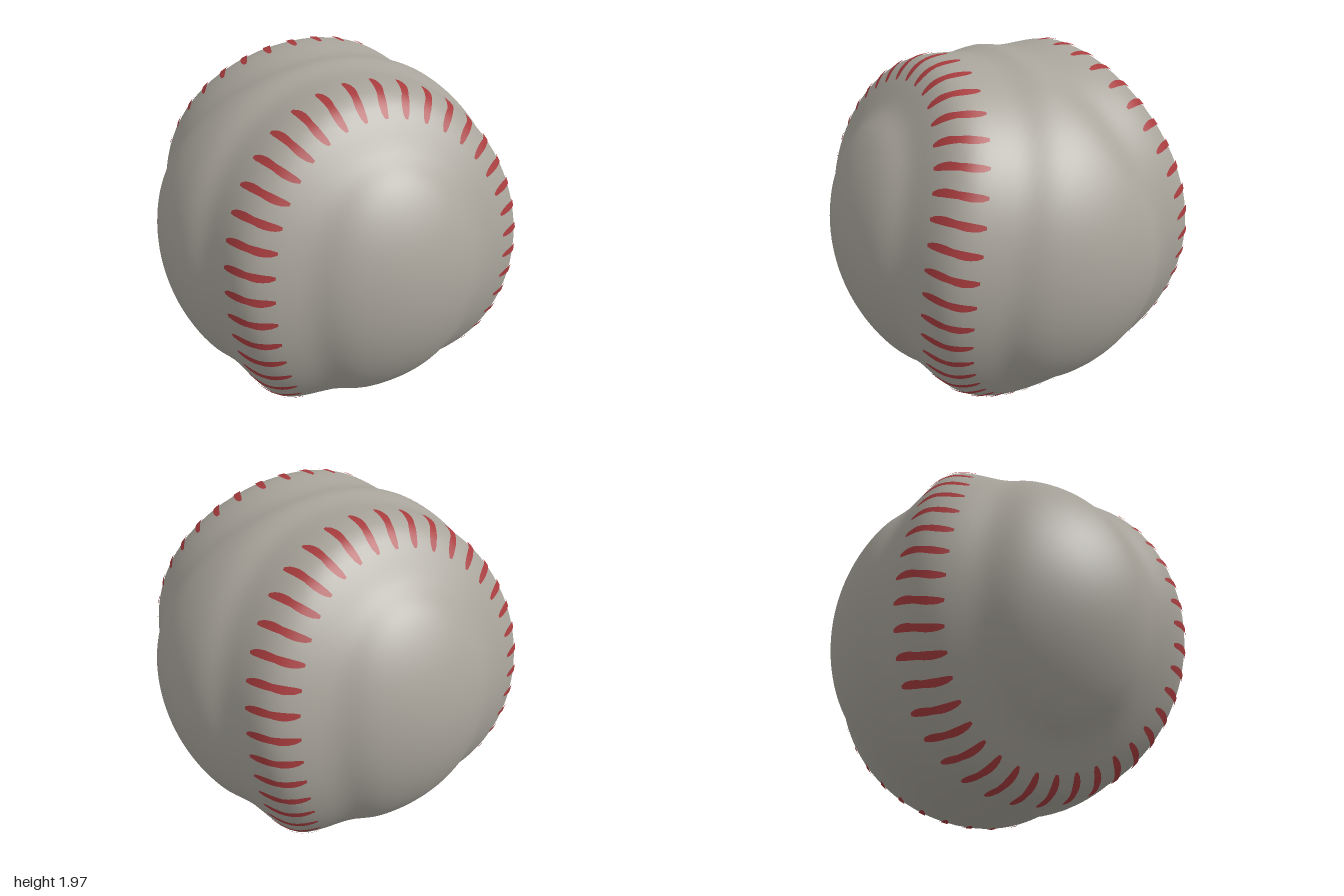
import * as THREE from 'three';
import { mergeVertices } from 'three/addons/utils/BufferGeometryUtils.js';

// Closed seam line on the unit sphere
class SeamCurve extends THREE.Curve {
  getPoint(u, target = new THREE.Vector3()) {
    const t = u * Math.PI * 2, a = 0.7, b = 0.3;
    return target.set(
      a * Math.sin(t) + b * Math.sin(3 * t),
      2 * Math.sqrt(a * b) * Math.cos(2 * t),
      a * Math.cos(t) - b * Math.cos(3 * t)
    ).normalize();
  }
}

const BASE_RADIUS = 0.988;
const STITCH_COUNT = 88;
const STITCH_HALF_LENGTH = 0.13;
const STITCH_HALF_WIDTH = 0.021;

export function createModel() {
  const leather = new THREE.MeshStandardMaterial({ color: 0xa8a49b });
  leather.name = 'grey leather';
  const thread = new THREE.MeshStandardMaterial({ color: 0xa83c3e });
  thread.name = 'red thread';

  const seam = new SeamCurve();
  seam.arcLengthDivisions = 800;
  const samples = seam.getPoints(720);

  // Push a direction out to the skin: a raised ridge on the seam, a soft dip beside it
  function toSkin(dir, lift = 0) {
    let best = -1;
    for (const s of samples) best = Math.max(best, s.dot(dir));
    const d = Math.acos(Math.min(1, best));
    const ridge = 0.06 * Math.exp(-((d / 0.16) ** 2));
    const dip = 0.015 * Math.exp(-(((d - 0.3) / 0.1) ** 2));
    dir.multiplyScalar(BASE_RADIUS + ridge - dip + lift);
    dir.x *= 1.012;
    return dir;
  }

  // Ball cover
  let cover = new THREE.IcosahedronGeometry(1, 24);
  cover.deleteAttribute('uv');
  cover.deleteAttribute('normal');
  cover = mergeVertices(cover, 1e-4);
  const pos = cover.attributes.position;
  const v = new THREE.Vector3();
  for (let i = 0; i < pos.count; i++) {
    toSkin(v.fromBufferAttribute(pos, i).normalize());
    pos.setXYZ(i, v.x, v.y, v.z);
  }
  cover.computeVertexNormals();

  // Stitches: slightly waved strips laid across the seam, tapered at both ends
  const points = [], index = [], steps = 10;
  for (let i = 0; i < STITCH_COUNT; i++) {
    const u = (i + 0.5) / STITCH_COUNT;
    const p = seam.getPointAt(u);
    const along = seam.getTangentAt(u);
    const across = new THREE.Vector3().crossVectors(p, along).normalize();
    for (let j = 0; j <= steps; j++) {
      const k = (j / steps) * 2 - 1;
      const angle = k * STITCH_HALF_LENGTH;
      const half = STITCH_HALF_WIDTH * (0.35 + 0.65 * Math.sqrt(1 - k * k)) * (1 - 0.2 * Math.exp(-k * k * 20));
      const wave = 0.008 * Math.sin(k * Math.PI * 0.8);
      for (const side of [-1, 1]) {
        const q = p.clone().multiplyScalar(Math.cos(angle))
          .addScaledVector(across, Math.sin(angle))
          .addScaledVector(along, wave + side * half)
          .normalize();
        points.push(...toSkin(q, 0.006).toArray());
      }
      if (j < steps) {
        const n = (i * (steps + 1) + j) * 2;
        index.push(n, n + 1, n + 2, n + 1, n + 3, n + 2);
      }
    }
  }
  const stitchGeometry = new THREE.BufferGeometry();
  stitchGeometry.setAttribute('position', new THREE.Float32BufferAttribute(points, 3));
  stitchGeometry.setIndex(index);
  stitchGeometry.computeVertexNormals();

  const group = new THREE.Group();
  group.name = 'ball';
  const coverMesh = new THREE.Mesh(cover, leather);
  coverMesh.name = 'cover';
  const stitchMesh = new THREE.Mesh(stitchGeometry, thread);
  stitchMesh.name = 'stitches';
  for (const mesh of [coverMesh, stitchMesh]) {
    mesh.position.y = 0.995;
    group.add(mesh);
  }
  return group;
}
